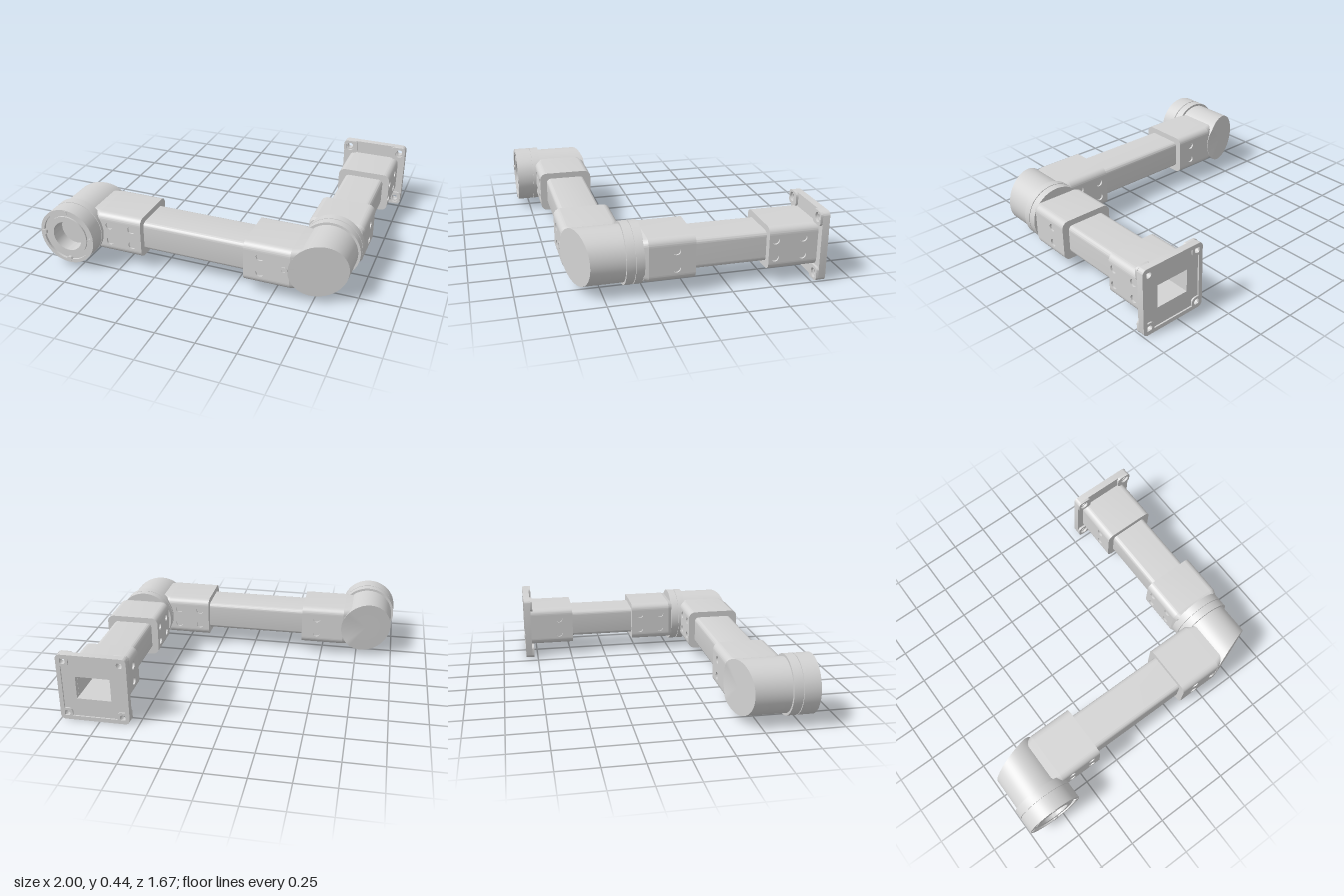
import * as THREE from 'three';
import { toCreasedNormals } from 'three/addons/utils/BufferGeometryUtils.js';

const metal = new THREE.MeshStandardMaterial({ color: 0xd3d3d3 });
metal.name = 'light grey metal';

const W = 0.178, H = 0.135, R = 0.045; // socket half width, half height, corner radius
const TW = 0.133, TH = 0.096;          // tube half sizes
const NOTCH = 0.012, PLATE = 0.088;    // depth and half height of the drilled side plates
const RING = 0.188;                    // bearing ring radius
const CY = 0.224;                      // height of the arm axis
const AX = 0.777, BZ = 0.521;          // axes of the lower and upper arm

function part(name, geometry, parent, crease = 0.6) {
  const mesh = new THREE.Mesh(toCreasedNormals(geometry, crease), metal);
  mesh.name = name;
  parent.add(mesh);
  return mesh;
}

function group(name, parent, x = 0, y = 0, z = 0, ry = 0) {
  const g = new THREE.Group();
  g.name = name;
  g.position.set(x, y, z);
  g.rotation.y = ry;
  parent.add(g);
  return g;
}

// rounded rectangle, optionally with a shallow notch along both sides
function roundedRect(w, h, r, notch = 0) {
  const s = new THREE.Shape();
  if (notch) {
    s.moveTo(w - notch, -PLATE);
    s.lineTo(w - notch, PLATE);
    s.lineTo(w, PLATE);
  } else s.moveTo(w, -h + r);
  s.absarc(w - r, h - r, r, 0, Math.PI / 2);
  s.absarc(-w + r, h - r, r, Math.PI / 2, Math.PI);
  if (notch) {
    s.lineTo(-w, PLATE);
    s.lineTo(-w + notch, PLATE);
    s.lineTo(-w + notch, -PLATE);
    s.lineTo(-w, -PLATE);
  }
  s.absarc(-w + r, -h + r, r, Math.PI, Math.PI * 1.5);
  s.absarc(w - r, -h + r, r, Math.PI * 1.5, Math.PI * 2);
  if (notch) s.lineTo(w, -PLATE);
  return s;
}

function bore(shape, w = 0.11, h = 0.075) {
  shape.holes.push(new THREE.Path([[-w, -h], [-w, h], [w, h], [w, -h]].map(p => new THREE.Vector2(...p))));
  return shape;
}

function round(shape, x, y, r) {
  shape.holes.push(new THREE.Path().absarc(x, y, r, 0, Math.PI * 2, true));
  return shape;
}

const extrude = (shape, depth) =>
  new THREE.ExtrudeGeometry(shape, { depth, bevelEnabled: false, curveSegments: 10 });

// side plate with pairs of screw holes, one pair per listed distance
function sidePlate(length, columns, side, parent) {
  const s = new THREE.Shape();
  s.moveTo(0, -PLATE);
  s.lineTo(length, -PLATE);
  s.lineTo(length, PLATE);
  s.lineTo(0, PLATE);
  for (const u of columns) for (const v of [-0.055, 0.055]) round(s, u, v, 0.025);
  const g = extrude(s, NOTCH).rotateY(-Math.PI / 2).translate(side > 0 ? W : -W + NOTCH, 0, 0);
  part('drilledPlate', g, parent);
}

// clamping socket running along local z from its open end
function socket(parent, length, plusColumns, minusColumns, hollow = false) {
  const s = roundedRect(W, H, R, NOTCH);
  if (hollow) bore(s);
  part('socketBody', extrude(s, length), parent);
  sidePlate(length, plusColumns, 1, parent);
  sidePlate(length, minusColumns, -1, parent);
}

// narrowing end of a socket
function taper(parent, start, length, sx, sy) {
  const g = extrude(roundedRect(W, H, R), length);
  const p = g.attributes.position;
  for (let i = 0; i < p.count; i++) {
    if (p.getZ(i) > length / 2) p.setXY(i, p.getX(i) * sx, p.getY(i) * sy);
  }
  part('socketTaper', g.translate(0, 0, start), parent, 0.25);
}

// turned part about local z, from [radius, z] pairs
function turned(name, points, parent) {
  const g = new THREE.LatheGeometry(points.map(p => new THREE.Vector2(...p)), 64);
  return part(name, g.rotateX(Math.PI / 2), parent);
}

// elbow: joint axis along local z, arm leaving along local +x, outer end cut at a slant
function elbow(name, parent, x, ry, cut, slope) {
  const g = group(name, parent, x, CY, BZ, ry);
  const c = new THREE.CylinderGeometry(0.172, 0.172, 1, 64).rotateX(Math.PI / 2);
  const p = c.attributes.position;
  for (let i = 0; i < p.count; i++) {
    p.setZ(i, p.getZ(i) > 0 ? 0.15 : Math.max(-0.183, -cut - slope * p.getX(i)));
  }
  part('elbowHousing', c, g);
  const s = group('elbowSocket', g, 0.452, 0, 0, -Math.PI / 2);
  socket(s, 0.292, [0.065, 0.22], [0.105]);
  taper(s, 0.292, 0.06, 0.87, 1);
  return g;
}

// mounting flange with raised corners in front and a rim behind
function flange(parent) {
  const g = group('mountingFlange', parent, 0.778, CY, -0.835);
  const A = 0.222, B = 0.18;
  const corners = [[1, 1], [-1, 1], [-1, -1], [1, -1]];
  const base = bore(roundedRect(A, A, 0.03));
  corners.forEach(([i, j]) => round(base, i * B, j * B, 0.02));
  part('flangePlate', extrude(base, 0.035).translate(0, 0, 0.01), g);
  const rim = bore(roundedRect(A, A, 0.03), 0.195, 0.195);
  part('flangeRim', extrude(rim, 0.01), g);
  for (const [i, j] of corners) {
    const front = round(roundedRect(0.05, 0.045, 0.025), i * 0.008, j * 0.003, 0.03);
    part('cornerPad', extrude(front, 0.015).translate(i * 0.172, j * 0.177, 0.045), g);
    const back = round(roundedRect(0.036, 0.036, 0.025), 0, 0, 0.02);
    part('cornerBoss', extrude(back, 0.01).translate(i * B, j * B, 0), g);
  }
}

export function createModel() {
  const model = new THREE.Group();
  model.name = 'jointedArm';

  // flange, lower arm and its two sockets
  flange(model);
  const lower = group('lowerSocket', model, AX, CY, -0.482, Math.PI);
  socket(lower, 0.312, [0.1], [0.04, 0.215], true);
  part('lowerTube', extrude(bore(roundedRect(TW, TH, 0.03)), 0.6).translate(AX, CY, -0.58), model);
  const upper = group('upperSocket', model, AX, CY, -0.033);
  socket(upper, 0.28, [0.115], [0.06, 0.215]);
  taper(upper, 0.28, 0.027, 0.94, 0.96);

  // right-angle elbow joining the two arms, with grooved bearing ring
  const inner = elbow('innerElbow', model, AX, Math.PI, 0.122, 0.355);
  turned('bearingRing', [[0, 0.145], [RING, 0.145], [RING, 0.195], [0.18, 0.195],
    [0.18, 0.2], [RING, 0.2], [RING, 0.251], [0, 0.251]], inner);
  const plug = turned('cablePlug', [[0, 0], [0.022, 0], [0.022, 0.006], [0.013, 0.006],
    [0.013, 0.002], [0, 0.002]], inner);
  plug.rotation.y = Math.PI;
  plug.position.set(0.195, 0, -W);

  // upper arm
  part('upperTube', extrude(roundedRect(TW, TH, 0.03), 0.8)
    .rotateY(Math.PI / 2).translate(-0.42, CY, BZ), model);

  // end elbow with an open output ring
  const outer = elbow('outerElbow', model, -0.812, 0, 0.143, 0.32);
  turned('outputRing', [[0, 0.142], [RING, 0.142], [RING, 0.199], [0.18, 0.199], [0.18, 0.204],
    [RING, 0.204], [RING, 0.309], [0.165, 0.309], [0.165, 0.294], [0.137, 0.294],
    [0.137, 0.304], [0.1, 0.304], [0.1, 0.207], [0, 0.207]], outer);
  for (let i = 0; i < 4; i++) {
    const a = i * Math.PI / 2;
    const g = new THREE.CylinderGeometry(0.018, 0.018, 0.02, 24).rotateX(Math.PI / 2);
    part('ringScrew', g.translate(0.167 * Math.cos(a), 0.167 * Math.sin(a), 0.302), outer);
  }
  return model;
}
